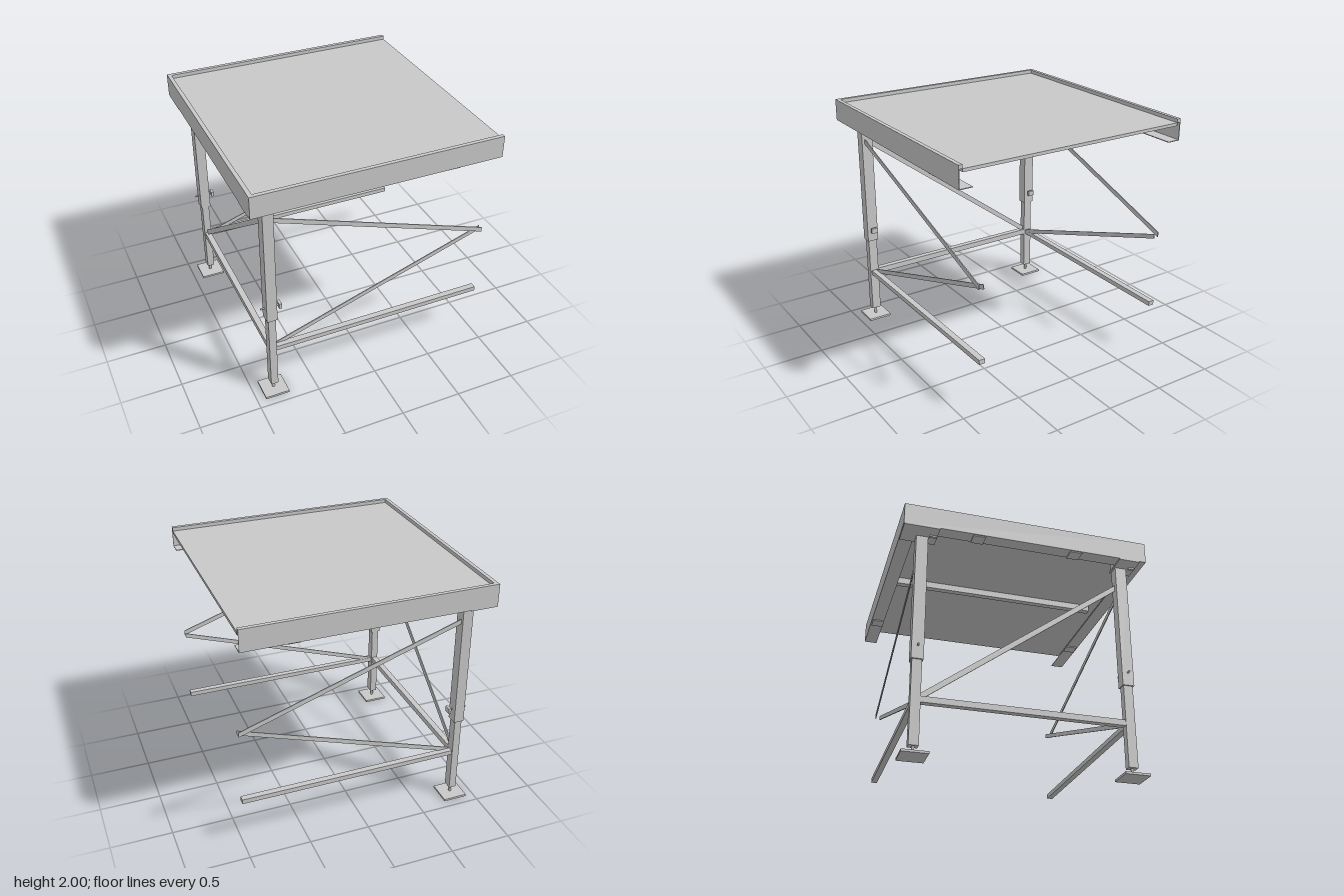
import * as THREE from 'three';

export function createModel() {
  const model = new THREE.Group();
  model.name = 'stagePlatform';
  const steel = new THREE.MeshStandardMaterial({ color: 0xc8c8c8 });
  steel.name = 'grey steel';

  const add = (name, geo, parent = model) => {
    const mesh = new THREE.Mesh(geo, steel);
    mesh.name = name;
    parent.add(mesh);
    return mesh;
  };
  // Box given by its min and max on each axis
  const box = (name, x0, x1, y0, y1, z0, z1, parent) => {
    const mesh = add(name, new THREE.BoxGeometry(x1 - x0, y1 - y0, z1 - z0), parent);
    mesh.position.set((x0 + x1) / 2, (y0 + y1) / 2, (z0 + z1) / 2);
    return mesh;
  };
  // Flat strip cut from a polygon, centred on its thickness
  const strip = (name, pts, parent) => {
    const shape = new THREE.Shape(pts.map(([x, y]) => new THREE.Vector2(x, y)));
    const depth = 0.008;
    const geo = new THREE.ExtrudeGeometry(shape, { depth, bevelEnabled: false });
    geo.translate(0, 0, -depth / 2);
    return add(name, geo, parent);
  };

  // Deck panel sunk behind the rim, and its cross beam
  box('deckPanel', -0.968, 1, 1.945, 1.97, -0.968, 0.968);
  box('crossBeam', -0.025, 0.025, 1.89, 1.945, -0.89, 0.89);

  // Edge channels: thin web, raised top lip and bottom flange, open on the +x side
  const t = 0.006, bottom = 1.822, lip = 0.032;
  for (const s of [1, -1]) {
    const side = new THREE.Group();
    side.name = s > 0 ? 'frontChannel' : 'backChannel';
    model.add(side);
    // Box between two distances from the centre line on this side
    const edge = (name, x0, x1, y0, y1, inner, outer) =>
      box(name, x0, x1, y0, y1, Math.min(s * inner, s * outer), Math.max(s * inner, s * outer), side);
    edge('web', -1, 1, bottom, 2, 1 - t, 1);
    edge('topLip', -1, 1, 1.97, 2, 1 - lip, 1 - t);
    edge('flange', -1, 1, bottom, bottom + t, 0.89, 1 - t);
    edge('channelLug', 0.55, 0.65, 1.813, bottom, 0.89, 0.99);
    edge('endChannelLug', -0.99, -0.89, 1.813, bottom, 0.35, 0.45);
  }
  box('endWeb', -1, -1 + t, bottom, 2, -1 + t, 1 - t);
  box('endLip', -1 + t, -1 + lip, 1.97, 2, -1 + lip, 1 - lip);
  box('endFlange', -1 + t, -0.89, bottom, bottom + t, -0.89, 0.89);

  // Legs, each with its rail and pair of diagonals
  const legX = -0.83, legZ = 0.831;
  for (const s of [1, -1]) {
    const leg = new THREE.Group();
    leg.name = s > 0 ? 'frontLeg' : 'backLeg';
    leg.position.z = s * legZ;
    model.add(leg);

    box('headBlock', -0.872, -0.788, bottom, 1.945, -0.052, 0.055, leg);
    box('headPlate', -1, -0.78, 1.813, 1.828, s > 0 ? -0.06 : -0.165, 0.115, leg);
    box('headCatch', -0.905, -0.885, 1.8, 1.813, 0.055, 0.11, leg);
    box('upperTube', -0.872, -0.788, 0.75, 1.815, -0.047, 0.047, leg);
    box('lowerTube', -0.86, -0.80, 0.08, 0.75, -0.038, 0.038, leg);

    // Adjustable foot
    const stem = add('footStem', new THREE.CylinderGeometry(0.012, 0.012, 0.07, 16), leg);
    stem.position.set(legX, 0.05, 0);
    box('footPlate', legX - 0.1, legX + 0.1, 0, 0.018, -0.1, 0.1, leg);

    // Locking pin
    const pin = add('lockingPin', new THREE.CylinderGeometry(0.007, 0.007, 0.15, 12), leg);
    pin.rotation.z = Math.PI / 2;
    pin.position.set(-0.83, 0.857, 0);
    box('pinHead', -0.763, -0.741, 0.835, 0.879, -0.028, 0.028, leg);

    // Long rail, and flat diagonals lapping each other at the far end
    box('longRail', -0.8, 1, 0.417, 0.456, -0.025, 0.025, leg);
    const upper = strip('upperDiagonal',
      [[-0.79, 1.64], [1, 1.035], [1, 1.075], [-0.79, 1.68]], leg);
    upper.position.z = s * 0.02;
    const lower = strip('lowerDiagonal',
      [[-0.8, 0.456], [-0.7, 0.456], [1, 1.03], [1, 1.068], [-0.8, 0.461]], leg);
    lower.position.z = s * -0.02;
  }

  // Rail and flat diagonal between the two legs
  box('endRail', legX - 0.025, legX + 0.025, 0.415, 0.463, -0.8, 0.8);
  const brace = strip('endDiagonal',
    [[-0.79, 1.615], [0.765, 0.46], [0.795, 0.46], [0.795, 0.492], [-0.79, 1.667]]);
  brace.rotation.y = Math.PI / 2;
  brace.position.x = legX;

  return model;
}
